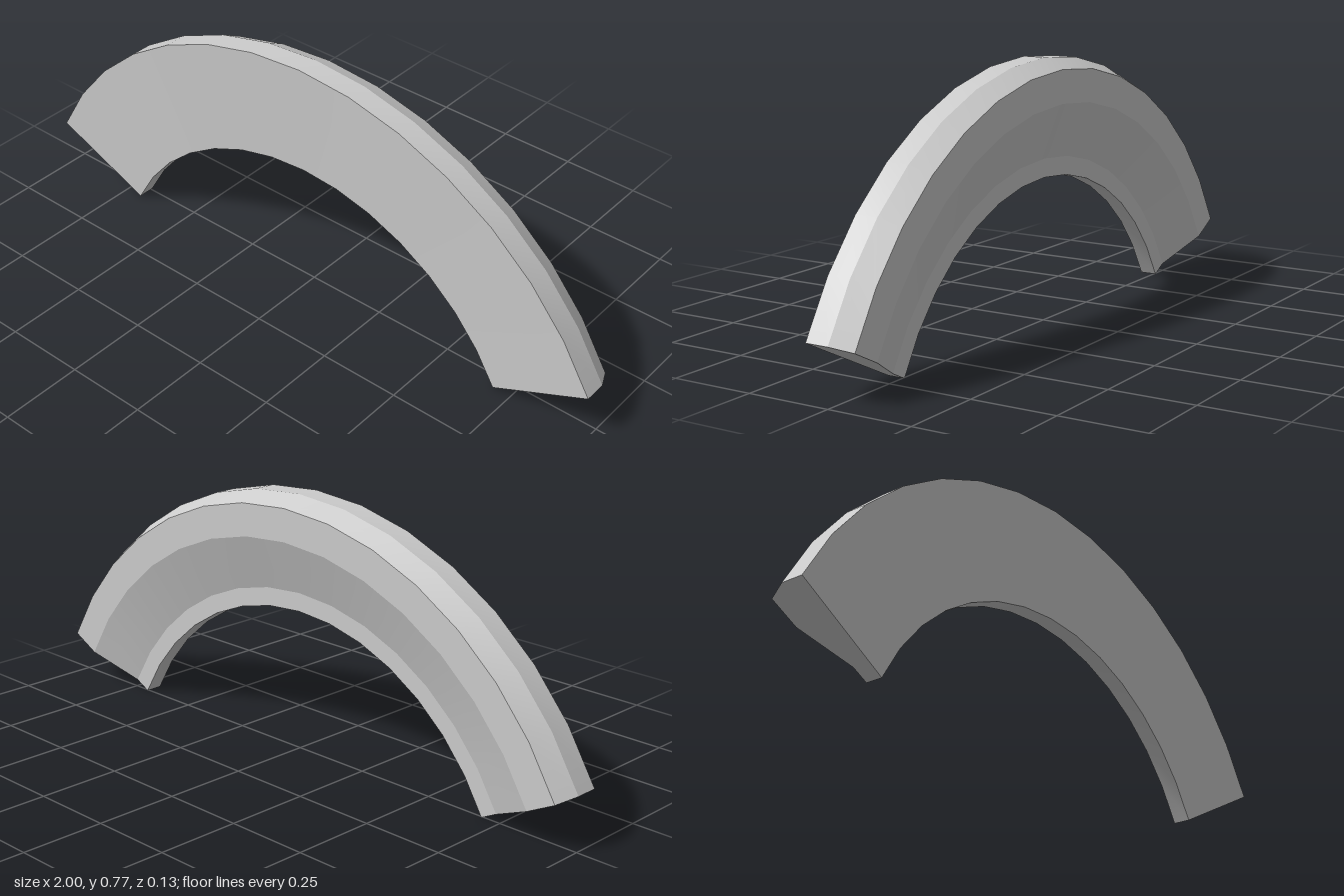
import * as THREE from 'three';
import { toCreasedNormals } from 'three/addons/utils/BufferGeometryUtils.js';

const CENTRE_Y = -0.352; // centre of the arc, below the ground
const START = THREE.MathUtils.degToRad(153);
const SWEEP = THREE.MathUtils.degToRad(126);
const SEGMENTS = 14;

// Cross-section as [radius, z]
const PROFILE = [
  [0.776, 0.047], [0.776, -0.005], [0.831, -0.005], [0.993, -0.065],
  [1.091, -0.065], [1.122, -0.004], [1.122, 0.065],
];

export function createModel() {
  const group = new THREE.Group();
  group.name = 'archMoulding';

  // Extrude the section straight, then bend it around the arc centre
  const shape = new THREE.Shape(PROFILE.map(([r, z]) => new THREE.Vector2(r, z)));
  const geometry = new THREE.ExtrudeGeometry(shape, { depth: 1, steps: SEGMENTS, bevelEnabled: false });
  const pos = geometry.attributes.position;
  for (let i = 0; i < pos.count; i++) {
    const r = pos.getX(i);
    const z = pos.getY(i);
    const angle = START - SWEEP * pos.getZ(i);
    pos.setXYZ(i, r * Math.cos(angle), CENTRE_Y + r * Math.sin(angle), z);
  }

  // Smooth along the arc, sharp between the faces of the section
  const arch = new THREE.Mesh(
    toCreasedNormals(geometry, 0.28),
    new THREE.MeshStandardMaterial({ color: 0xcccccc }),
  );
  arch.name = 'arch';
  group.add(arch);
  return group;
}
